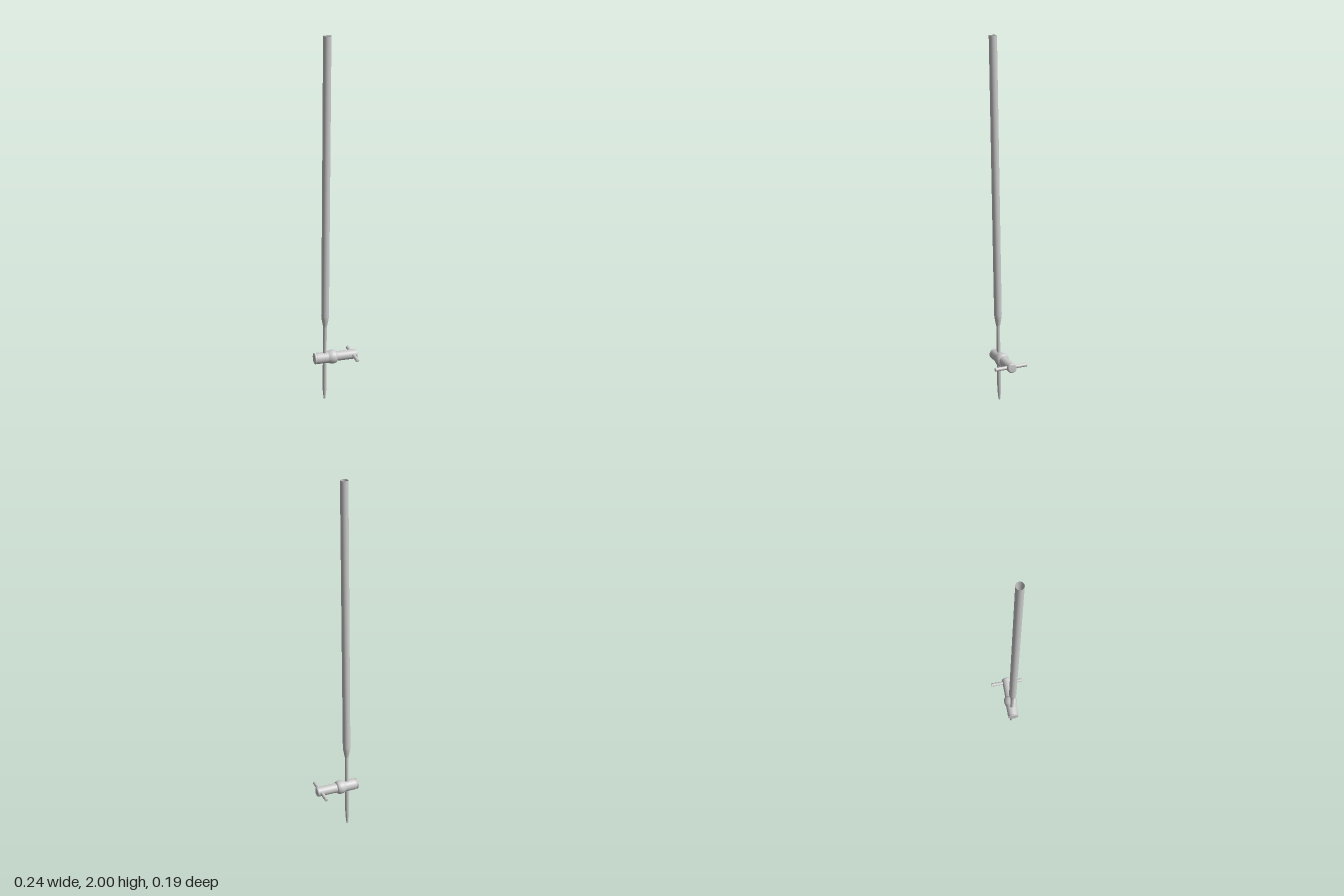
import * as THREE from 'three';

const grey = new THREE.MeshStandardMaterial({ color: 0xcccccc });
const open = new THREE.MeshStandardMaterial({ color: 0xcccccc, side: THREE.DoubleSide });

// Turned part from [radius, height] pairs, bottom to top
function turned(name, profile, material) {
  const points = profile.map(([r, y]) => new THREE.Vector2(r, y));
  const mesh = new THREE.Mesh(new THREE.LatheGeometry(points, 32), material);
  mesh.name = name;
  return mesh;
}

// Solid rod with slightly rounded ends, centred on its own axis
function rod(name, radius, length, bevel) {
  const h = length / 2;
  return turned(name, [
    [0, -h], [radius - bevel, -h], [radius - bevel * 0.3, -h + bevel * 0.3], [radius, -h + bevel],
    [radius, h - bevel], [radius - bevel * 0.3, h - bevel * 0.3], [radius - bevel, h], [0, h],
  ], grey);
}

export function createModel() {
  const model = new THREE.Group();
  model.name = 'burette';

  // Slightly leaning glass tube: drip tip, narrow stem, shoulder, open body
  const tube = turned('glassTube', [
    [0.005, 0], [0.007, 0.02], [0.010, 0.05], [0.011, 0.08], [0.011, 0.2], [0.010, 0.3], [0.010, 0.43],
    [0.012, 0.441], [0.0165, 0.465], [0.0195, 0.482], [0.021, 0.5], [0.021, 2],
  ], open);
  const base = new THREE.Vector3(-0.063, 0, -0.004);
  const lean = new THREE.Vector3(0.01, 2, 0.039).normalize();
  tube.position.copy(base);
  tube.quaternion.setFromUnitVectors(new THREE.Vector3(0, 1, 0), lean);
  model.add(tube);

  // Stopcock lying along x, its axis through the stem
  const stopcock = new THREE.Group();
  stopcock.name = 'stopcock';
  stopcock.position.set(0, 0.25, 0);

  // Barrel with an end flange, a neck groove and a rounded collar
  const barrel = turned('valveBarrel', [
    [0, -0.122], [0.029, -0.122], [0.031, -0.12], [0.031, -0.117], [0.029, -0.113], [0.0285, -0.109],
    [0.031, -0.103], [0.031, -0.047], [0.033, -0.043], [0.036, -0.035], [0.038, -0.026],
    [0.0385, -0.018], [0.0375, -0.009], [0.035, -0.002], [0.031, 0.003], [0.026, 0.004], [0, 0.004],
  ], grey);
  barrel.rotation.z = -Math.PI / 2;

  // Plug leaving the collar
  const plug = rod('plug', 0.0265, 0.132, 0.007);
  plug.rotation.z = -Math.PI / 2;
  plug.position.x = 0.056;

  // Cross bar for turning the plug
  const handle = rod('handleBar', 0.010, 0.187, 0.003);
  handle.rotation.x = Math.PI / 2;
  handle.position.set(0.098, 0, -0.001);

  stopcock.add(barrel, plug, handle);
  model.add(stopcock);
  return model;
}
